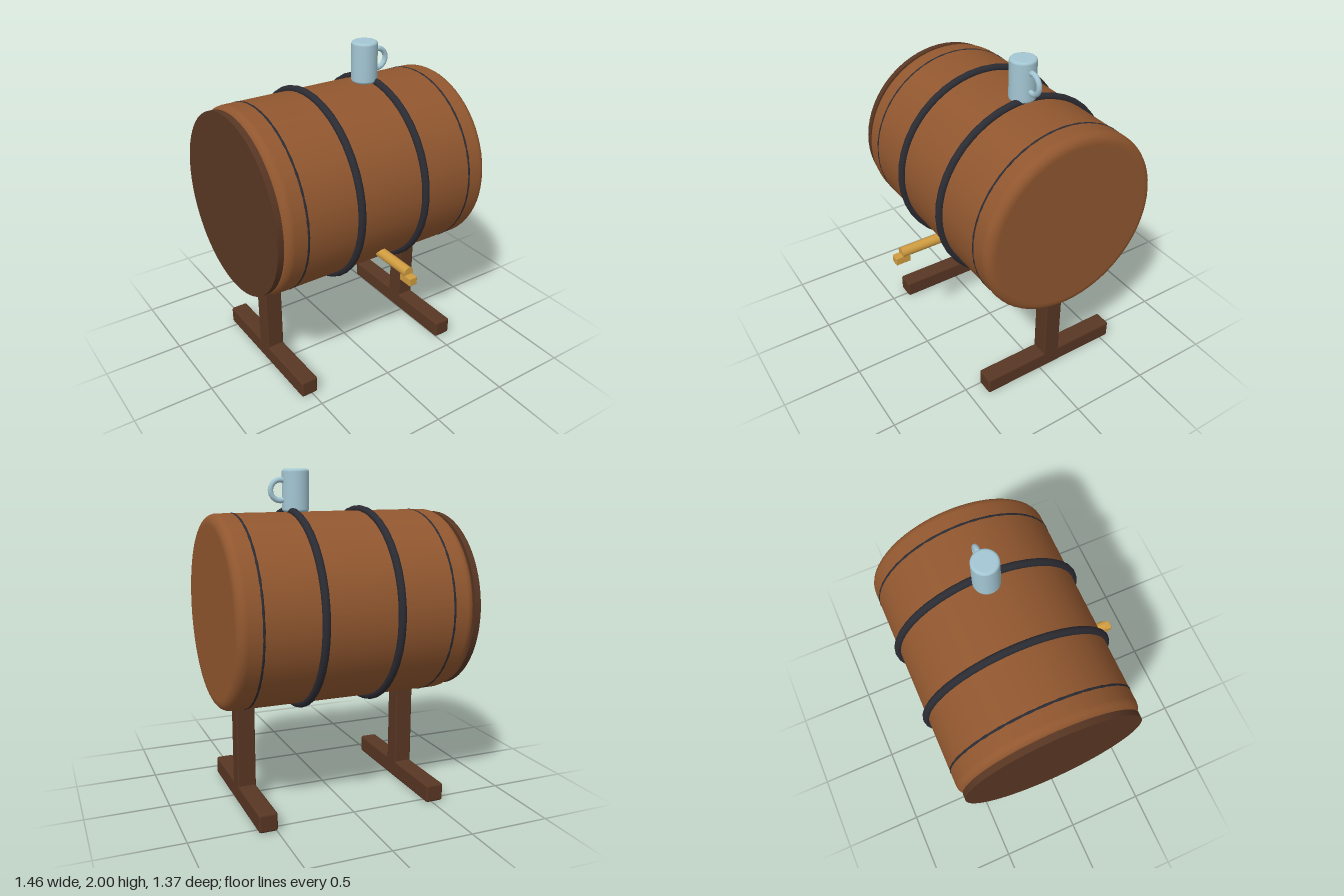
import * as THREE from 'three';
import { RoundedBoxGeometry } from 'three/addons/geometries/RoundedBoxGeometry.js';

const CY = 1.184, CZ = -0.084; // barrel axis

export function createModel() {
  const model = new THREE.Group();
  model.name = 'barrelOnStand';

  const material = (name, color) => {
    const m = new THREE.MeshStandardMaterial({ color });
    m.name = name;
    return m;
  };
  const wood = material('barrel wood', 0x91572f);
  const darkWood = material('dark wood', 0x583623);
  const iron = material('black iron', 0x2b2b33);
  const brass = material('brass', 0xcf9c40);
  const tin = material('pale blue tin', 0xa3c6d3);

  const add = (name, geometry, mat, x, y, z) => {
    const mesh = new THREE.Mesh(geometry, mat);
    mesh.name = name;
    mesh.position.set(x, y, z);
    model.add(mesh);
    return mesh;
  };

  // Solid cylinder along y with rounded rims, smooth shaded
  const roundedCylinder = (r, length, bevel, segments) => {
    const h = length / 2, pts = [];
    const arc = (cy, start) => {
      for (let i = 0; i <= 5; i++) {
        const a = start + (i / 5) * Math.PI / 2;
        pts.push(new THREE.Vector2(r - bevel + Math.cos(a) * bevel, cy + Math.sin(a) * bevel));
      }
    };
    pts.push(new THREE.Vector2(0, -h), new THREE.Vector2(r - bevel * 1.2, -h));
    arc(-h + bevel, -Math.PI / 2);
    arc(h - bevel, 0);
    pts.push(new THREE.Vector2(r - bevel * 1.2, h), new THREE.Vector2(0, h));
    return new THREE.LatheGeometry(pts, segments);
  };

  // Barrel body and the lid on its right end
  add('barrel', roundedCylinder(0.57, 1.422, 0.055, 64).rotateZ(-Math.PI / 2), wood, 0.016, CY, CZ);
  add('endLid', new THREE.CylinderGeometry(0.553, 0.553, 0.038, 64).rotateZ(Math.PI / 2),
    darkWood, -0.717, CY, CZ);

  // Hoops: two thick in the middle, two thin near the ends
  const hoop = (name, x, ring, tube) =>
    add(name, new THREE.TorusGeometry(ring, tube, 12, 40).rotateY(Math.PI / 2), iron, x, CY, CZ);
  for (const x of [-0.211, 0.243]) hoop('thickHoop', x, 0.578, 0.023);
  for (const x of [-0.554, 0.587]) hoop('thinHoop', x, 0.5605, 0.0125);

  // Stand: a post on a long foot under each end
  for (const x of [-0.517, 0.549]) {
    add('standPost', new RoundedBoxGeometry(0.112, 0.59, 0.112, 2, 0.008), darkWood, x, 0.385, CZ + 0.002);
    add('standFoot', new RoundedBoxGeometry(0.112, 0.112, 0.95, 2, 0.014), darkWood, x, 0.058, CZ + 0.002);
  }

  // Tap: pipe with a small square spout
  add('tapPipe', new THREE.CylinderGeometry(0.032, 0.032, 0.3, 24).rotateX(Math.PI / 2), brass, 0.016, 0.842, 0.493);
  add('tapSpout', new RoundedBoxGeometry(0.054, 0.052, 0.094, 2, 0.006), brass, 0.016, 0.803, 0.642);

  // Mug standing on the barrel, with a ring handle
  add('mug', roundedCylinder(0.079, 0.246, 0.016, 32), tin, 0.203, 1.877, CZ);
  add('mugHandle', new THREE.TorusGeometry(0.059, 0.016, 12, 32), tin, 0.297, 1.879, CZ);

  return model;
}
